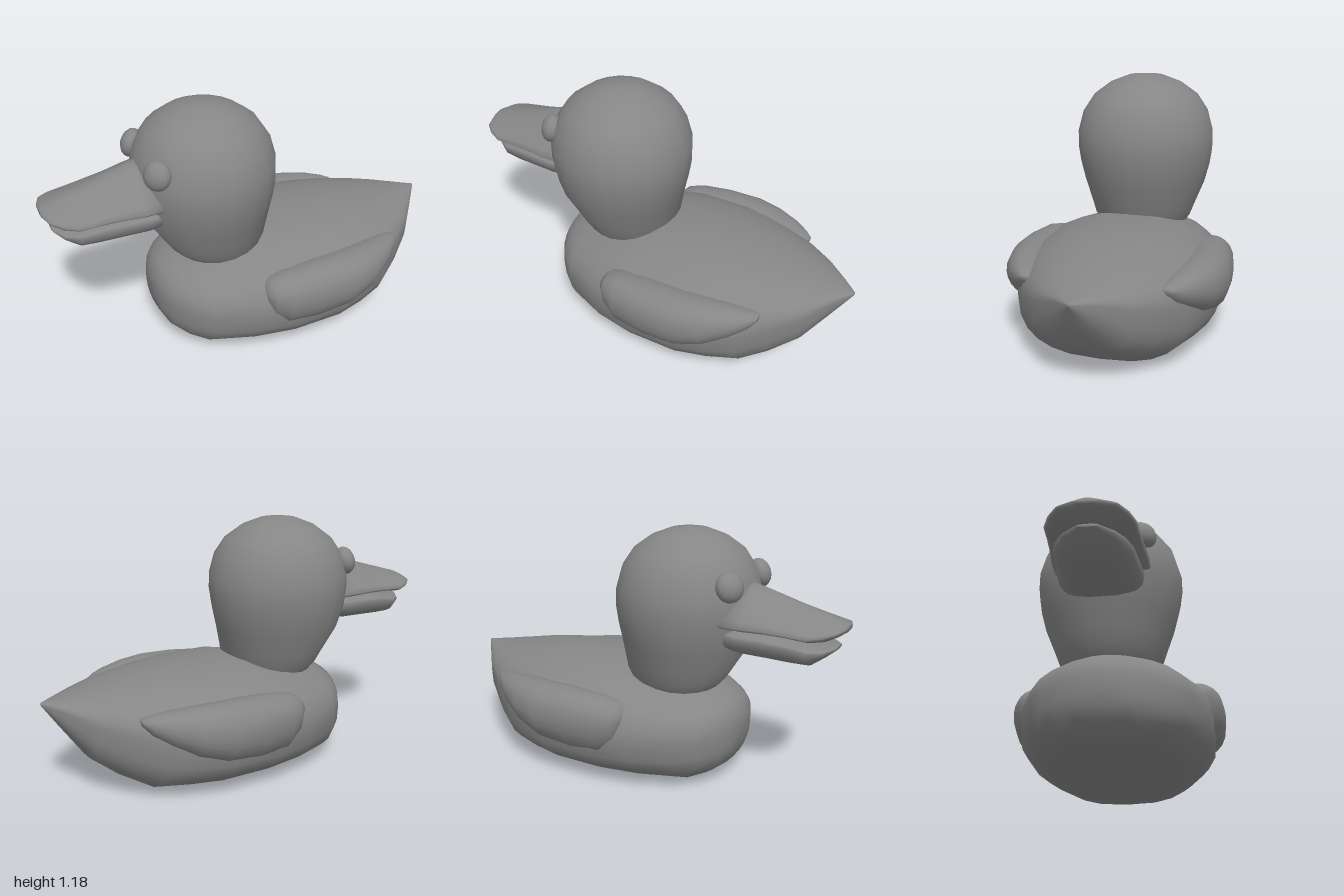
import * as THREE from 'three';

const material = new THREE.MeshStandardMaterial({ color: 0x868686 });

// Closed loft along x. Section: [x, yBottom, yTop, halfWidth, yWidest, zCentre].
// nUp / nDown shape the upper and lower halves (2 = ellipse, more = boxier).
function loft(sections, nUp = 2, nDown = 2, sides = 20) {
  const pos = [], index = [];
  const pole = ([x, , , , yc, cz]) => [x, yc, yc, 0, yc, cz];
  const rings = [pole(sections[0]), ...sections, pole(sections[sections.length - 1])];
  for (const [x, yb, yt, w, yc, cz = 0] of rings) {
    for (let j = 0; j < sides; j++) {
      const a = (j / sides) * Math.PI * 2;
      const c = Math.cos(a), s = Math.sin(a);
      const e = 2 / (s >= 0 ? nUp : nDown);
      const h = s >= 0 ? yt - yc : yc - yb;
      pos.push(
        x,
        yc + h * Math.sign(s) * Math.abs(s) ** e,
        cz + w * Math.sign(c) * Math.abs(c) ** e
      );
    }
  }
  for (let i = 0; i < rings.length - 1; i++) {
    for (let j = 0; j < sides; j++) {
      const k = (j + 1) % sides;
      const a = i * sides + j, b = a + sides, c = (i + 1) * sides + k, d = i * sides + k;
      index.push(a, b, c, a, c, d);
    }
  }
  const geo = new THREE.BufferGeometry();
  geo.setAttribute('position', new THREE.Float32BufferAttribute(pos, 3));
  geo.setIndex(index);
  geo.computeVertexNormals();
  return geo;
}

export function createModel() {
  const duck = new THREE.Group();
  duck.name = 'duck';
  const add = (name, geo) => {
    const mesh = new THREE.Mesh(geo, material);
    mesh.name = name;
    duck.add(mesh);
    return mesh;
  };

  // Body: rounded breast, flat belly, pointed raised tail
  add('body', loft([
    [-0.522, 0.21, 0.29, 0.05, 0.25],
    [-0.512, 0.145, 0.335, 0.12, 0.25],
    [-0.48, 0.085, 0.39, 0.205, 0.25],
    [-0.42, 0.04, 0.415, 0.288, 0.25],
    [-0.34, 0.006, 0.445, 0.355, 0.25],
    [-0.15, 0.003, 0.49, 0.437, 0.25],
    [0.05, 0, 0.532, 0.475, 0.25],
    [0.3, 0, 0.532, 0.475, 0.26],
    [0.45, 0.005, 0.525, 0.435, 0.27],
    [0.58, 0.012, 0.51, 0.385, 0.29],
    [0.7, 0.08, 0.495, 0.31, 0.33],
    [0.82, 0.175, 0.475, 0.215, 0.37],
    [0.93, 0.335, 0.46, 0.088, 0.425],
    [1, 0.44, 0.455, 0.006, 0.448],
  ], 2.15, 2.7, 24));

  // Head and neck: round on top, tapering and drifting back towards the base
  const profile = [
    [0.17, 0.38], [0.21, 0.43], [0.243, 0.48], [0.265, 0.54], [0.308, 0.65],
    [0.331, 0.74], [0.343, 0.82], [0.342, 0.9], [0.315, 1.0], [0.262, 1.08],
    [0.18, 1.14], [0.09, 1.175], [0, 1.185],
  ].map(([r, y]) => new THREE.Vector2(r, y));
  const headGeo = new THREE.LatheGeometry(profile, 20);
  const p = headGeo.attributes.position;
  for (let i = 0; i < p.count; i++) {
    const drop = Math.max(0, 0.67 - p.getY(i));
    p.setX(i, p.getX(i) - 0.23 + 0.24 * drop);
    p.setZ(i, p.getZ(i) - 0.006);
  }
  add('head', headGeo);

  // Beak: ridged upper half and shorter lower half, parted only near the tip
  add('upperBeak', loft([
    [-0.998, 0.8, 0.83, 0.055, 0.815, -0.02],
    [-0.975, 0.785, 0.84, 0.125, 0.81, -0.02],
    [-0.93, 0.762, 0.852, 0.165, 0.8, -0.02],
    [-0.87, 0.755, 0.87, 0.192, 0.79, -0.02],
    [-0.78, 0.765, 0.895, 0.197, 0.795, -0.018],
    [-0.68, 0.765, 0.925, 0.205, 0.8, -0.016],
    [-0.58, 0.763, 0.955, 0.217, 0.8, -0.015],
    [-0.45, 0.763, 0.985, 0.217, 0.8, -0.015],
  ], 1.35, 2));
  add('lowerBeak', loft([
    [-0.96, 0.715, 0.732, 0.045, 0.724, -0.02],
    [-0.92, 0.682, 0.73, 0.11, 0.715, -0.02],
    [-0.86, 0.637, 0.74, 0.15, 0.715, -0.02],
    [-0.78, 0.636, 0.76, 0.168, 0.73, -0.018],
    [-0.68, 0.64, 0.775, 0.178, 0.735, -0.016],
    [-0.55, 0.645, 0.78, 0.192, 0.74, -0.015],
    [-0.43, 0.665, 0.78, 0.18, 0.745, -0.015],
  ], 2.2, 2.2));

  // Paired eyes and wings on either flank
  for (const [label, side] of [['front', 1], ['back', -1]]) {
    const eye = add(`${label}SideEye`, new THREE.SphereGeometry(1, 14, 10));
    eye.scale.set(0.068, 0.068, 0.05);
    eye.position.set(-0.512, 0.965, side * 0.175 - 0.006);
    eye.lookAt(-0.812, 1.065, side * 0.36);

    add(`${label}SideWing`, loft([
      [-0.1, 0.3, 0.385, 0.06, 0.35, side * 0.38],
      [-0.07, 0.22, 0.415, 0.083, 0.33, side * 0.388],
      [0, 0.165, 0.435, 0.105, 0.32, side * 0.398],
      [0.15, 0.16, 0.45, 0.117, 0.32, side * 0.406],
      [0.32, 0.18, 0.455, 0.117, 0.32, side * 0.408],
      [0.45, 0.225, 0.45, 0.108, 0.335, side * 0.385],
      [0.56, 0.29, 0.438, 0.083, 0.365, side * 0.352],
      [0.63, 0.34, 0.425, 0.052, 0.385, side * 0.326],
      [0.665, 0.385, 0.412, 0.027, 0.4, side * 0.312],
    ], 2.2, 2));
  }
  return duck;
}
